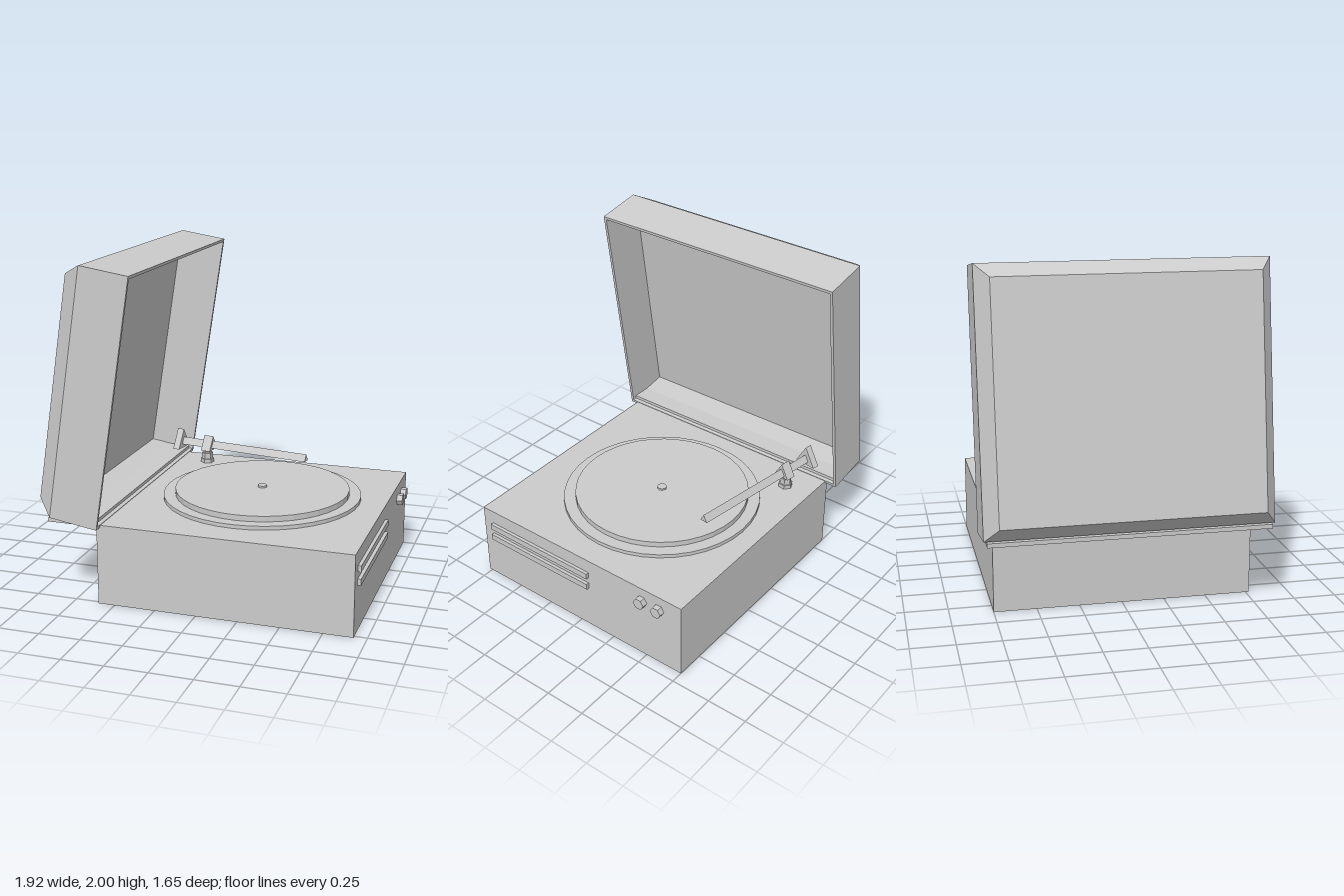
import * as THREE from 'three';

const material = new THREE.MeshStandardMaterial({ color: 0xcccccc, flatShading: true });

function add(parent, name, geometry, x = 0, y = 0, z = 0) {
  const mesh = new THREE.Mesh(geometry, material);
  mesh.name = name;
  mesh.position.set(x, y, z);
  parent.add(mesh);
  return mesh;
}

// Box given by its limits on each axis
function addBox(parent, name, [x0, x1], [y0, y1], [z0, z1]) {
  return add(parent, name, new THREE.BoxGeometry(x1 - x0, y1 - y0, z1 - z0),
    (x0 + x1) / 2, (y0 + y1) / 2, (z0 + z1) / 2);
}

// Upright disc or post between two heights
function addDisc(parent, name, radius, y0, y1, x, z, sides) {
  return add(parent, name, new THREE.CylinderGeometry(radius, radius, y1 - y0, sides), x, (y0 + y1) / 2, z);
}

// Three-sided bar along x with its ridge on top
function triangularBar(radius, length) {
  return new THREE.CylinderGeometry(radius, radius, length, 3).rotateZ(Math.PI / 2).rotateX(-Math.PI / 2);
}

function createLid() {
  const height = 1.494, width = 1.65, depth = 0.295, wall = 0.018, bevel = 0.105, inset = 0.077;
  const lid = new THREE.Group();
  lid.name = 'lid';

  // Open rim of four thin walls
  const rectangle = (Type, w, h) => new Type([
    new THREE.Vector2(-w, -h), new THREE.Vector2(w, -h), new THREE.Vector2(w, h), new THREE.Vector2(-w, h)]);
  const rim = rectangle(THREE.Shape, width / 2, height / 2);
  rim.holes.push(rectangle(THREE.Path, width / 2 - wall, height / 2 - wall));
  const rimGeometry = new THREE.ExtrudeGeometry(rim, { depth, bevelEnabled: false }).rotateY(Math.PI / 2);
  add(lid, 'lidRim', rimGeometry, 0, height / 2, 0);

  // Back panel with chamfered edges
  const panel = new THREE.BoxGeometry(bevel, height, width);
  const p = panel.attributes.position;
  for (let i = 0; i < p.count; i++) {
    if (p.getX(i) > 0) continue;
    p.setY(i, p.getY(i) - Math.sign(p.getY(i)) * inset);
    p.setZ(i, p.getZ(i) - Math.sign(p.getZ(i)) * inset);
  }
  panel.computeVertexNormals();
  add(lid, 'lidPanel', panel, -bevel / 2, height / 2, 0);

  lid.position.set(-0.87, 0.52, -0.003);
  lid.rotation.z = -0.157;
  return lid;
}

function createToneArm() {
  const arm = new THREE.Group();
  arm.name = 'toneArm';
  // Stepped pivot post
  addDisc(arm, 'pivotFoot', 0.045, 0.49, 0.515, 0, 0, 6);
  addDisc(arm, 'pivotBase', 0.037, 0.515, 0.555, 0, 0, 6);
  addDisc(arm, 'pivotPost', 0.026, 0.555, 0.59, 0, 0, 6);
  // Bar, saddle and counterweight share one axis
  add(arm, 'armBar', triangularBar(0.03, 0.94), 0.25, 0.608, 0);
  add(arm, 'armSaddle', triangularBar(0.062, 0.065), 0.012, 0.608, 0);
  add(arm, 'counterweight', triangularBar(0.083, 0.045), -0.2, 0.608, 0);
  // Needle pointing down at the tip
  add(arm, 'needle', new THREE.ConeGeometry(0.018, 0.03, 4).rotateX(Math.PI), 0.698, 0.592, 0);
  arm.position.set(-0.385, 0, -0.575);
  arm.rotation.y = -0.16;
  return arm;
}

export function createModel() {
  const model = new THREE.Group();
  model.name = 'recordPlayer';

  // Case and hinge plate behind it
  addBox(model, 'case', [-0.6, 0.925], [0, 0.488], [-0.75, 0.77]);
  addBox(model, 'hingePlate', [-0.885, -0.6], [0.49, 0.515], [-0.81, 0.805]);
  model.add(createLid());

  // Turntable
  addDisc(model, 'platter', 0.607, 0.485, 0.511, 0.163, -0.022, 40);
  addDisc(model, 'record', 0.535, 0.511, 0.545, 0.163, -0.022, 40);
  addDisc(model, 'spindle', 0.029, 0.545, 0.556, 0.163, -0.022, 12);
  model.add(createToneArm());

  // Raised grille bars on the side
  for (const y of [0.283, 0.362]) {
    addBox(model, 'grilleBar', [0.92, 0.945], [y, y + 0.038], [-0.07, 0.7]);
  }
  // Six-sided knobs
  for (const z of [-0.47, -0.592]) {
    add(model, 'knob', new THREE.CylinderGeometry(0.037, 0.037, 0.04, 6).rotateZ(Math.PI / 2), 0.94, 0.397, z);
  }
  return model;
}
